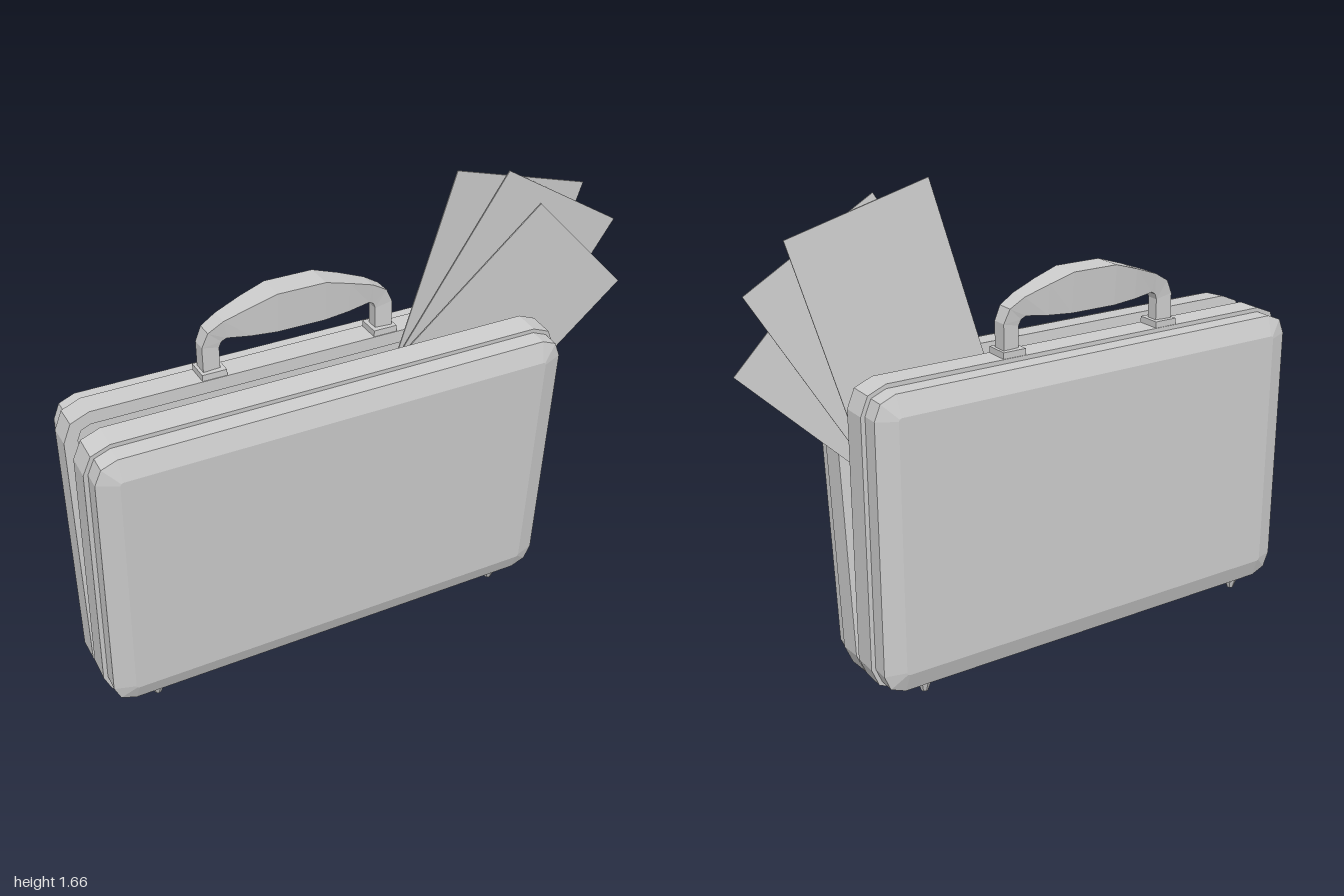
import * as THREE from 'three';

const mat = new THREE.MeshStandardMaterial({ color: 0xcccccc, flatShading: true });
const W = 1.68, H = 1.055, CX = -0.16;

function add(parent, name, geometry, x = 0, y = 0, z = 0) {
  const mesh = new THREE.Mesh(geometry, mat);
  mesh.name = name;
  mesh.position.set(x, y, z);
  parent.add(mesh);
  return mesh;
}

// Joins a list of equal-length rings and caps both ends
function loft(rings) {
  const n = rings[0].length, idx = [];
  for (let i = 0; i < rings.length - 1; i++) {
    for (let j = 0; j < n; j++) {
      const a = i * n + j, b = i * n + (j + 1) % n;
      idx.push(a, b, b + n, a, b + n, a + n);
    }
  }
  const last = (rings.length - 1) * n;
  for (let j = 1; j < n - 1; j++) {
    idx.push(0, j + 1, j);
    idx.push(last, last + j, last + j + 1);
  }
  const g = new THREE.BufferGeometry().setFromPoints(rings.flat());
  g.setIndex(idx);
  const flat = g.toNonIndexed();
  flat.computeVertexNormals();
  return flat;
}

// Rectangle with two-segment rounded corners, standing on y = 0
function roundedRing(inset, z) {
  const r = Math.max(0.09 - inset, 0.01), pts = [];
  const hx = W / 2 - inset - r, hy = H / 2 - inset - r;
  [[1, 1], [-1, 1], [-1, -1], [1, -1]].forEach(([sx, sy], c) => {
    for (let k = 0; k < 3; k++) {
      const a = (c + k / 2) * Math.PI / 2;
      pts.push(new THREE.Vector3(sx * hx + r * Math.cos(a), H / 2 + sy * hy + r * Math.sin(a), z));
    }
  });
  return pts;
}

// Hollow half of the case: cavity, lip, raised rim, body and bevelled face
function shellGeometry() {
  const profile = [[0.08, 0.15], [0.045, 0.12], [0.045, 0], [0, 0], [0, 0.09],
    [0.015, 0.09], [0.015, 0.15], [0.085, 0.175]];
  return loft(profile.map(([inset, z]) => roundedRing(inset, z)));
}

function makeShell(name) {
  const half = new THREE.Group();
  half.name = name;
  add(half, name + 'Body', shellGeometry());
  for (const x of [-0.665, 0.665]) {
    add(half, name + 'Foot', new THREE.CylinderGeometry(0.024, 0.012, 0.035, 8), x, -0.005, 0.122);
  }
  return half;
}

// Arched grip: outer x, y, inner x, y and half width, measured from its middle
function handleGeometry() {
  const left = [
    [-0.34, 1.1, -0.28, 1.1, 0.027], [-0.34, 1.2, -0.28, 1.185, 0.027],
    [-0.318, 1.248, -0.272, 1.205, 0.03], [-0.265, 1.28, -0.255, 1.215, 0.034],
    [-0.175, 1.312, -0.175, 1.206, 0.045], [-0.085, 1.34, -0.085, 1.2, 0.052],
  ];
  const right = left.map(([a, b, c, d, w]) => [-a, b, -c, d, w]).reverse();
  return loft([...left, ...right].map(([ox, oy, ix, iy, w]) => [
    new THREE.Vector3(ox, oy, w), new THREE.Vector3(ix, iy, w * 0.8),
    new THREE.Vector3(ix, iy, -w * 0.8), new THREE.Vector3(ox, oy, -w),
  ]));
}

export function createModel() {
  const model = new THREE.Group();
  model.name = 'briefcase';

  // Upright back half and front half leaning open
  const back = makeShell('backShell');
  back.position.set(CX, 0.035, -0.045);
  back.rotation.y = Math.PI;
  const front = makeShell('frontShell');
  front.position.set(CX, 0.038, -0.036);
  front.rotation.x = 0.0855;
  model.add(back, front);

  // Carrying handle on two mounts
  const handle = new THREE.Group();
  handle.name = 'handle';
  handle.position.set(-0.185, 0, -0.09);
  add(handle, 'grip', handleGeometry());
  for (const s of [-1, 1]) {
    add(handle, 'handleMount', new THREE.BoxGeometry(0.085, 0.03, 0.085), s * 0.308, 1.097, 0);
  }
  model.add(handle);

  // Hinges underneath
  for (const x of [-0.6, 0.3]) {
    const hinge = new THREE.Group();
    hinge.name = 'hinge';
    hinge.position.set(x, 0, -0.042);
    add(hinge, 'hingePlate', new THREE.BoxGeometry(0.15, 0.012, 0.12), 0, 0.029, 0);
    const barrel = add(hinge, 'hingeBarrel', new THREE.CylinderGeometry(0.014, 0.014, 0.12, 8), 0, 0.014, 0);
    barrel.rotation.z = Math.PI / 2;
    model.add(hinge);
  }

  // Fanned sheets sticking out of the gap
  const sheets = [[0.469, 1.212, 0.003, -15.4], [0.531, 1.161, 0.019, -30.6], [0.533, 1.036, 0.026, -45.8]];
  for (const [x, y, z, deg] of sheets) {
    const sheet = add(model, 'paperSheet', new THREE.BoxGeometry(0.51, 0.8, 0.004), x, y, z);
    sheet.rotation.set(0.085, 0, THREE.MathUtils.degToRad(deg), 'ZYX');
  }
  return model;
}
